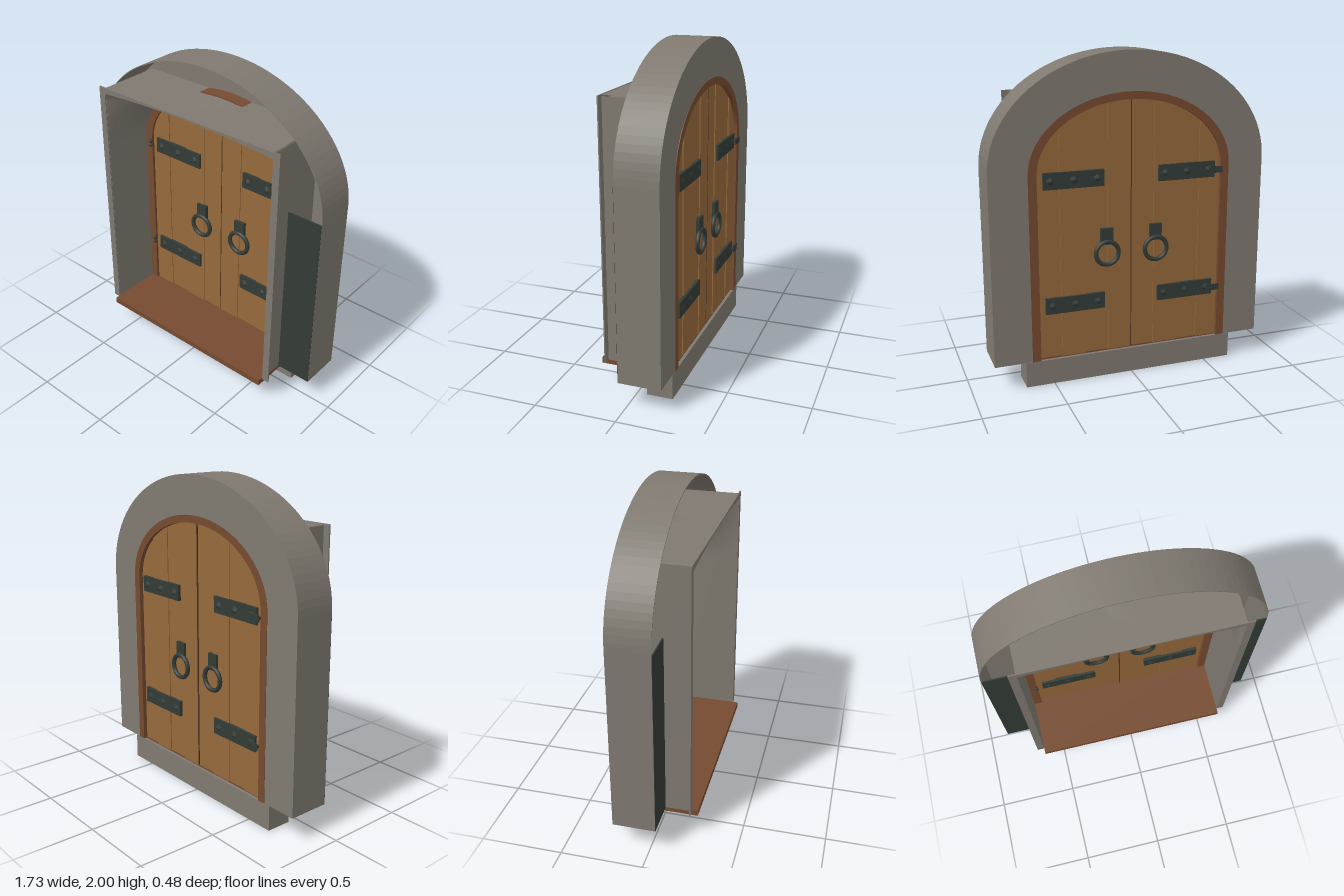
import * as THREE from 'three';
import { ParametricGeometry } from 'three/addons/geometries/ParametricGeometry.js';

const mat = (name, color, side = THREE.FrontSide) => {
  const m = new THREE.MeshStandardMaterial({ color, side });
  m.name = name;
  return m;
};

// Points of an arch outline: right foot, elliptical top, left foot
function archPoints(w, spring, rise, bottom) {
  const pts = [new THREE.Vector2(w, bottom)];
  for (let i = 0; i <= 48; i++) {
    const a = (i / 48) * Math.PI;
    pts.push(new THREE.Vector2(w * Math.cos(a), spring + rise * Math.sin(a)));
  }
  pts.push(new THREE.Vector2(-w, bottom));
  return pts;
}

// Upside-down U between two arch outlines, extruded from z0 to z1
function archBand(outer, inner, z0, z1) {
  const shape = new THREE.Shape([...outer, ...inner.slice().reverse()]);
  return new THREE.ExtrudeGeometry(shape, { depth: z1 - z0, bevelEnabled: false }).translate(0, 0, z0);
}

export function createModel() {
  const stone = mat('stone', 0x7f7970, THREE.DoubleSide);
  const plankWood = mat('plank wood', 0x96693b);
  const trimWood = mat('trim wood', 0x764b30);
  const iron = mat('dark iron', 0x333c37);
  const seamDark = mat('seam', 0x4f351d);

  const model = new THREE.Group();
  const add = (name, geometry, material, parent = model) => {
    const mesh = new THREE.Mesh(geometry, material);
    mesh.name = name;
    parent.add(mesh);
    return mesh;
  };
  // Box given by its limits
  const box = (name, x0, x1, y0, y1, z0, z1, material, parent) =>
    add(name, new THREE.BoxGeometry(x1 - x0, y1 - y0, z1 - z0)
      .translate((x0 + x1) / 2, (y0 + y1) / 2, (z0 + z1) / 2), material, parent);

  // Hollow stone arch: back face, outer rim, open at the front
  const outer = archPoints(0.865, 1.32, 0.68, 0.16);
  const opening = archPoints(0.632, 1.3, 0.46, 0.16);
  add('archFace', archBand(outer, opening, -0.22, -0.214), stone);
  add('archRim', archBand(outer, archPoints(0.859, 1.32, 0.674, 0.16), -0.214, 0.04), stone);

  // Iron panels closing the front of both arch legs
  for (const s of [-1, 1]) {
    const a = s * 0.64, b = s * 0.864;
    box('legPanel', Math.min(a, b), Math.max(a, b), 0.16, 1.31, 0.034, 0.042, iron);
  }

  // Square surround standing out at the front
  for (const s of [-1, 1]) {
    box('surroundWall', s * 0.635 - 0.002, s * 0.635 + 0.002, 0.16, 1.74, -0.214, 0.2, stone);
  }
  const roof = add('surroundTop', new THREE.PlaneGeometry(1.27, 0.414), stone);
  roof.rotation.x = -Math.PI / 2;
  roof.position.set(0, 1.747, -0.007);

  // Thin flange around the front of the surround
  const flange = new THREE.Shape();
  flange.moveTo(-0.68, 0.16);
  flange.lineTo(-0.68, 1.75);
  flange.lineTo(0.68, 1.75);
  flange.lineTo(0.68, 0.16);
  flange.lineTo(0.635, 0.16);
  flange.lineTo(0.635, 1.71);
  flange.quadraticCurveTo(0, 1.77, -0.635, 1.71);
  flange.lineTo(-0.635, 0.16);
  add('surroundFlange', new THREE.ExtrudeGeometry(flange, { depth: 0.008, bevelEnabled: false })
    .translate(0, 0, 0.198), stone);

  // Vault blending the square front into the arched door frame
  add('vault', new ParametricGeometry((u, v, p) => {
    const a = u * Math.PI, c = Math.cos(a), s = Math.sin(a);
    const m = Math.max(Math.abs(c), Math.abs(s));
    const fx = 0.633 * c / m;
    const lift = s / m * 0.03 * (1 - (c / m) ** 2);
    const fy = 1.3 + 0.41 * s / m + lift;
    p.set(THREE.MathUtils.lerp(0.632 * c, fx, v),
      THREE.MathUtils.lerp(1.3 + 0.455 * s, fy, v),
      THREE.MathUtils.lerp(-0.14, 0.2, v));
  }, 48, 6), stone);

  // Stone step and wooden floor
  box('step', -0.675, 0.675, 0, 0.158, -0.22, -0.06, stone);
  box('floor', -0.633, 0.633, 0.13, 0.168, -0.2, 0.24, trimWood);

  // Arched wooden door frame
  add('doorFrame', archBand(archPoints(0.634, 1.3, 0.463, 0.16),
    archPoints(0.582, 1.3, 0.418, 0.16), -0.223, -0.13), trimWood);

  // Door planks, alternating in thickness, cut to the arch
  const door = new THREE.Group();
  door.name = 'door';
  model.add(door);
  const plankW = 0.148;
  for (let i = -4; i < 4; i++) {
    const x0 = i * plankW, shape = new THREE.Shape();
    shape.moveTo(x0, 0.165);
    shape.lineTo(x0 + plankW, 0.165);
    for (let k = 8; k >= 0; k--) {
      const x = x0 + plankW * k / 8;
      shape.lineTo(x, 1.3 + 0.425 * Math.sqrt(Math.max(0, 1 - (x / 0.592) ** 2)));
    }
    const d = i % 2 ? 0.044 : 0.056;
    add('plank', new THREE.ExtrudeGeometry(shape, { depth: d, bevelEnabled: false })
      .translate(0, 0, -0.175 - d / 2), plankWood, door);
  }
  box('middleSeam', -0.003, 0.003, 0.168, 1.715, -0.204, -0.146, seamDark, door);

  // Hinge straps, studs and ring handles on both faces of the door
  for (const face of [1, -1]) {
    const side = new THREE.Group();
    side.name = face > 0 ? 'frontIronwork' : 'backIronwork';
    side.position.z = -0.175;
    if (face < 0) side.rotation.y = Math.PI;
    model.add(side);
    for (const s of [-1, 1]) {
      for (const y of [0.5, 1.265]) {
        const strap = box('hingeStrap', -0.185, 0.185, -0.05, 0.05, 0.02, 0.042, iron, side);
        strap.position.set(s * 0.358, y, 0);
        for (const dx of [-0.143, 0, 0.143]) {
          const stud = add('stud', new THREE.ConeGeometry(0.026, 0.016, 6), iron, side);
          stud.rotation.x = Math.PI / 2;
          stud.position.set(s * 0.358 + dx, y, 0.049);
        }
      }
      box('handlePlate', s * 0.157 - 0.038, s * 0.157 + 0.038, 0.85, 0.953, 0.02, 0.044, iron, side);
      const ring = add('handleRing', new THREE.TorusGeometry(0.072, 0.014, 8, 24), iron, side);
      ring.position.set(s * 0.157, 0.797, 0.042);
    }
  }

  // Hinge pins beside the straps of one leaf
  for (const y of [0.5, 1.265]) {
    for (const dy of [-0.014, 0.014]) {
      const knob = add('hingeKnob', new THREE.SphereGeometry(0.013, 8, 6), iron);
      knob.position.set(-0.588, y + dy, -0.125);
    }
    box('hingePin', -0.585, -0.495, y - 0.006, y + 0.006, -0.238, -0.215, iron);
    box('hingePinHead', -0.585, -0.495, y - 0.02, y + 0.02, -0.24, -0.234, iron);
  }
  return model;
}
